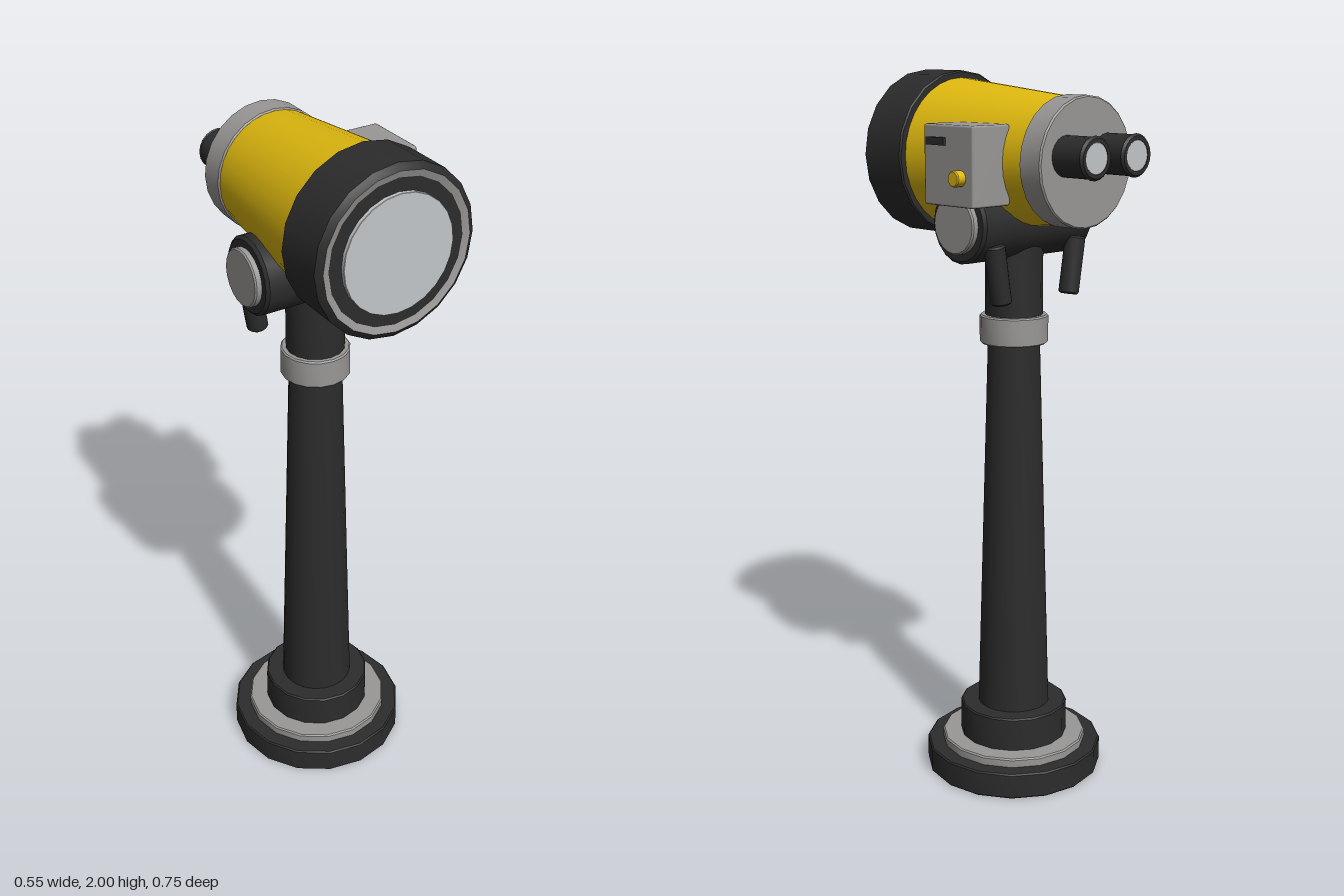
import * as THREE from 'three';
import { toCreasedNormals } from 'three/addons/utils/BufferGeometryUtils.js';
import { RoundedBoxGeometry } from 'three/addons/geometries/RoundedBoxGeometry.js';

const material = (name, color) => {
  const m = new THREE.MeshStandardMaterial({ color });
  m.name = name;
  return m;
};

export function createModel() {
  const black = material('black', 0x2c2c2c);
  const silver = material('silver', 0x9a9896);
  const yellow = material('yellow', 0xdeb80f);
  const glass = material('glass', 0xc3c6c9);

  const AXIS_X = -0.022; // the column and scope share this centre line
  const SCOPE_Y = 1.775;
  const model = new THREE.Group();
  model.name = 'viewer';

  const add = (name, geometry, mat, x, y, z, parent = model) => {
    const mesh = new THREE.Mesh(geometry, mat);
    mesh.name = name;
    mesh.position.set(x, y, z);
    parent.add(mesh);
    return mesh;
  };
  // Turned part from [radius, height] pairs, listed from the bottom up
  const turned = (profile, sides) => toCreasedNormals(
    new THREE.LatheGeometry(profile.map(([r, h]) => new THREE.Vector2(r, h)), sides), 0.6);
  // Closed disc or drum with a small chamfer on both rims
  const drum = (r0, r1, h0, h1, sides, c = 0.004) => turned([
    [0, h0], [r0 - c, h0], [r0, h0 + c], [r1, h1 - c], [r1 - c, h1], [0, h1]], sides);

  // Pedestal, from the floor up: name, lower radius, upper radius, bottom, top
  [
    ['base', 0.255, 0.255, 0, 0.075, black, 16],
    ['baseRing', 0.21, 0.21, 0.07, 0.1, silver, 16],
    ['foot', 0.155, 0.155, 0.095, 0.197, black, 16],
    ['column', 0.104, 0.073, 0.19, 1.28, black, 20],
    ['collar', 0.095, 0.095, 1.27, 1.35, silver, 16],
    ['neck', 0.08, 0.08, 1.345, 1.6, black, 16],
  ].forEach(([name, r0, r1, y0, y1, mat, sides]) =>
    add(name, drum(r0, r1, y0, y1, sides), mat, AXIS_X, 0, 0));

  // Tilt pivot across the column, with a cap at each end
  add('pivot', drum(0.105, 0.105, -0.203, 0.203, 20, 0.008).rotateZ(-Math.PI / 2),
    black, AXIS_X, 1.61, 0);
  for (const side of [-1, 1]) {
    add('pivotCap', drum(0.078, 0.078, 0.19, 0.221, 20).rotateZ(-side * Math.PI / 2),
      silver, AXIS_X, 1.61, 0);
    // Handles lean in towards the column at the bottom
    const handle = add('handle', drum(0.029, 0.029, -0.08, 0.08, 12, 0.005),
      black, AXIS_X + side * 0.14, 1.48, -0.085);
    handle.rotation.z = -side * 0.16;
  }

  // Scope, turned about z
  const scope = new THREE.Group();
  scope.name = 'scope';
  scope.position.set(AXIS_X, SCOPE_Y, 0);
  model.add(scope);
  const alongZ = (name, geometry, mat, x = 0, y = 0) =>
    add(name, geometry.rotateX(Math.PI / 2), mat, x, y, 0, scope);

  alongZ('body', drum(0.165, 0.206, -0.2, 0.22, 32, 0.001), yellow);
  alongZ('rearRing', drum(0.17, 0.17, -0.27, -0.193, 24), silver);
  alongZ('hood', turned([[0, 0.21], [0.221, 0.21], [0.225, 0.214], [0.225, 0.358],
    [0.221, 0.362], [0.208, 0.37]], 20), black);
  alongZ('hoodTrim', turned([[0.208, 0.37], [0.19, 0.364]], 20), silver);
  alongZ('hoodFace', turned([[0.19, 0.364], [0, 0.364]], 20), black);
  alongZ('frontLens', drum(0.155, 0.155, 0.36, 0.375, 24, 0.001), glass);

  // Pair of eyepieces at the rear
  for (const side of [-1, 1]) {
    const tube = turned([[0, 0.26], [0.053, 0.26], [0.053, 0.365], [0.056, 0.368],
      [0.05, 0.375], [0.04, 0.375], [0.04, 0.371], [0, 0.371]], 20);
    add('eyepiece', tube.rotateX(-Math.PI / 2), black, side * 0.075, 0.02, 0, scope);
    const lens = drum(0.04, 0.04, 0.365, 0.374, 20, 0.001);
    add('eyeLens', lens.rotateX(-Math.PI / 2), glass, side * 0.075, 0.02, 0, scope);
  }

  // Coin box on the left side, with its slot and button
  add('coinBox', new RoundedBoxGeometry(0.13, 0.206, 0.188, 1, 0.006), silver, 0.186, 1.769, -0.041);
  add('coinSlot', new THREE.BoxGeometry(0.015, 0.02, 0.068), black, 0.2525, 1.83, 0.001);
  add('coinButton', drum(0.021, 0.021, 0, 0.032, 12, 0.003).rotateZ(-Math.PI / 2),
    yellow, 0.245, 1.74, -0.088);

  return model;
}
